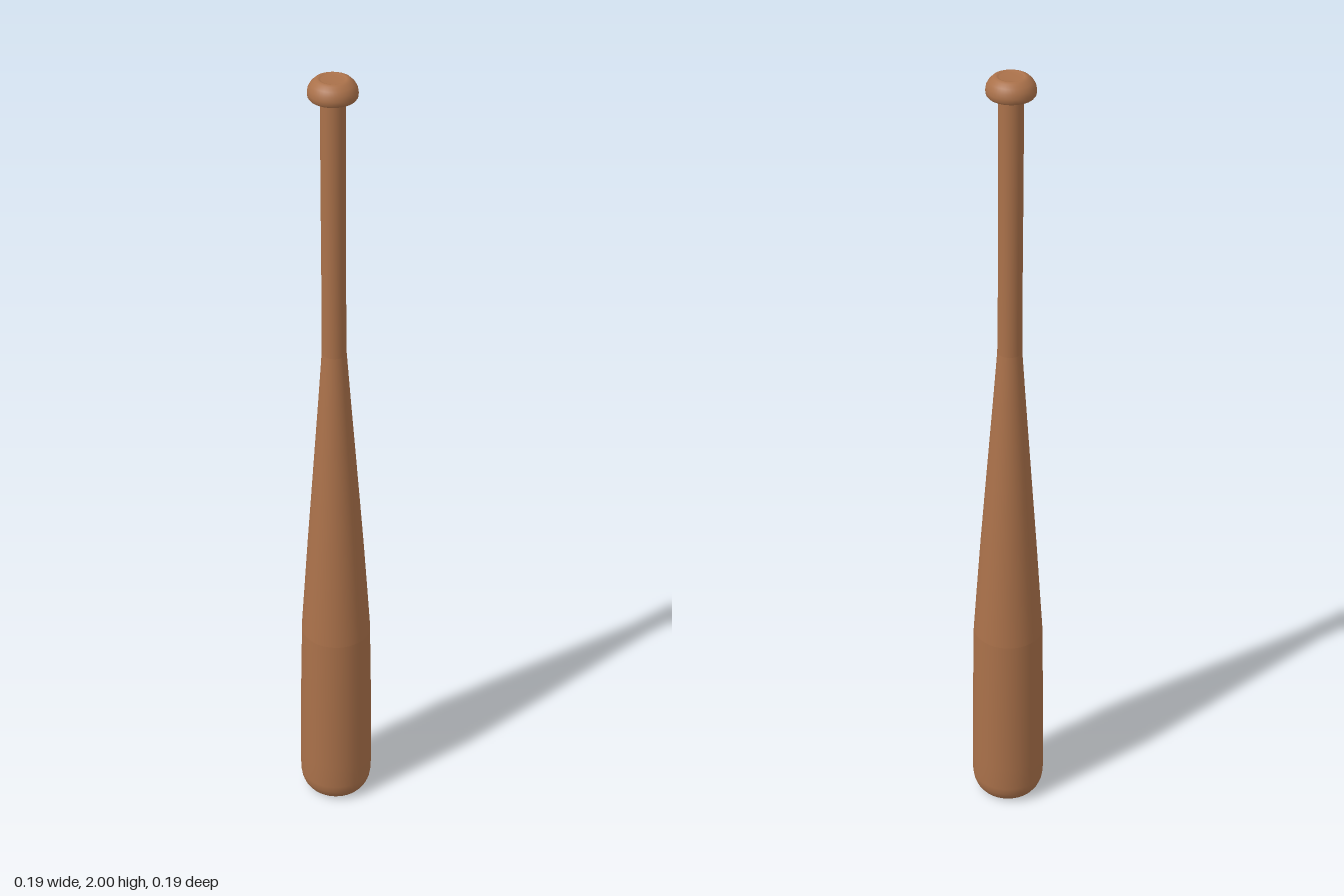
import * as THREE from 'three';

const SEGMENTS = 40;

// Axis leans very slightly to -x towards the handle end.
const lean = (y) => -0.007 * THREE.MathUtils.smoothstep(y, 0.4, 2);
// The section is a touch narrower in x than in z above the barrel's lower half.
const narrow = (y) => 1 - 0.05 * THREE.MathUtils.smoothstep(y, 0.15, 0.5);

function turned(name, profile, material) {
  const points = profile.map(([r, y]) => new THREE.Vector2(r, y));
  const geometry = new THREE.LatheGeometry(points, SEGMENTS);
  const p = geometry.attributes.position;
  for (let i = 0; i < p.count; i++) {
    const y = p.getY(i);
    p.setX(i, p.getX(i) * narrow(y) + lean(y));
  }
  const mesh = new THREE.Mesh(geometry, material);
  mesh.name = name;
  return mesh;
}

export function createModel() {
  const wood = new THREE.MeshStandardMaterial({ color: 0xaa714a });
  wood.name = 'warm wood';

  const bat = new THREE.Group();
  bat.name = 'bat';
  bat.add(
    // Hollowed cup in the barrel end
    turned('endCup', [[0, 0.035], [0.025, 0.032], [0.043, 0.022], [0.053, 0.008], [0.058, 0]], wood),
    // Rounded end and straight barrel
    turned('barrel', [
      [0.058, 0], [0.066, 0.001], [0.075, 0.007], [0.083, 0.018], [0.089, 0.033],
      [0.092, 0.052], [0.0925, 0.12], [0.0925, 0.3], [0.092, 0.45], [0.0915, 0.51],
    ], wood),
    // Long taper into the grip
    turned('taper', [
      [0.0915, 0.51], [0.083, 0.63], [0.073, 0.77], [0.062, 0.91], [0.051, 1.05],
      [0.04, 1.19], [0.031, 1.31],
    ], wood),
    turned('grip', [[0.031, 1.31], [0.03, 1.5], [0.03, 1.75], [0.03, 1.96]], wood),
    // Knob with a flat underside and a domed top
    turned('knobUnderside', [[0.028, 1.96], [0.045, 1.957], [0.055, 1.954]], wood),
    turned('knob', [
      [0.055, 1.954], [0.059, 1.959], [0.06, 1.968], [0.058, 1.979], [0.052, 1.989],
      [0.043, 1.997], [0.036, 2], [0.031, 1.999], [0.028, 1.997], [0, 1.997],
    ], wood),
  );
  return bat;
}
